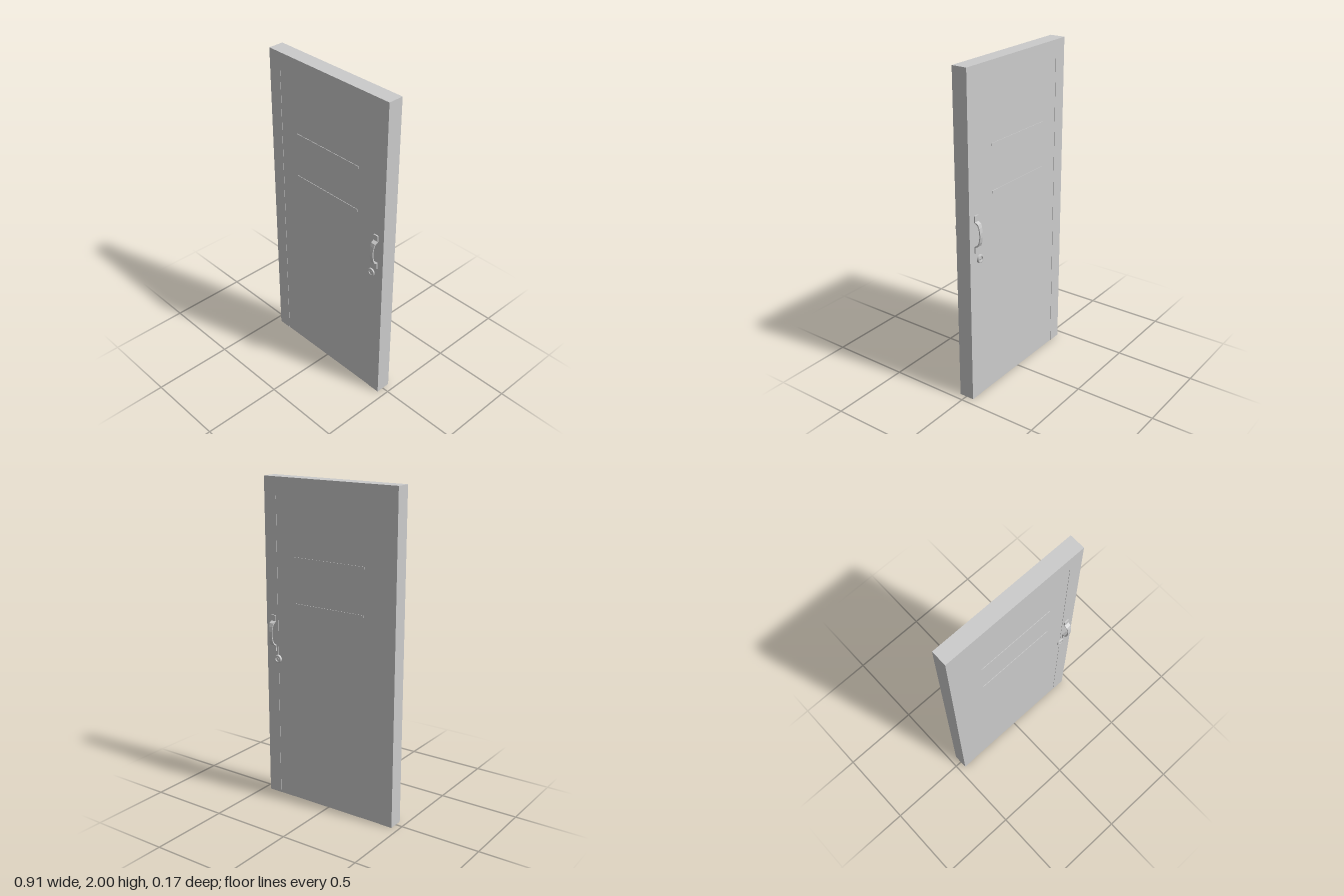
import * as THREE from 'three';

const mat = new THREE.MeshStandardMaterial({ color: 0xcccccc, flatShading: true });
const ringMat = new THREE.MeshStandardMaterial({ color: 0xcccccc });

function add(parent, name, geo, x = 0, y = 0, z = 0, material = mat) {
  const m = new THREE.Mesh(geo, material);
  m.name = name;
  m.position.set(x, y, z);
  parent.add(m);
  return m;
}

// Bowed strap handle: side profile extruded across its width, waisted in the middle
function handleGeometry() {
  const outer = [[0, -0.113], [0.008, -0.113], [0.008, -0.077], [0.024, -0.068], [0.034, -0.045],
    [0.039, -0.015], [0.039, 0.015], [0.034, 0.045], [0.027, 0.066], [0.008, 0.077], [0.008, 0.113], [0, 0.113]];
  const inner = [[0, 0.073], [0.021, 0.061], [0.028, 0.043], [0.032, 0.015],
    [0.032, -0.015], [0.028, -0.043], [0.019, -0.061], [0, -0.073]];
  const shape = new THREE.Shape([...outer, ...inner].map(p => new THREE.Vector2(...p)));
  const width = 0.032;
  const geo = new THREE.ExtrudeGeometry(shape, { depth: width, bevelEnabled: false });
  geo.translate(0, 0, -width / 2).rotateY(-Math.PI / 2);
  const pos = geo.attributes.position;
  for (let i = 0; i < pos.count; i++) {
    const t = Math.min(1, Math.abs(pos.getY(i)) / 0.075);
    pos.setX(i, pos.getX(i) * (0.68 + 0.32 * t * t));
  }
  geo.computeVertexNormals();
  return geo;
}

// Fittings of one door face, built facing +z; side = 1 front, -1 back
function doorFace(side, z) {
  const face = new THREE.Group();
  face.name = side > 0 ? 'frontFace' : 'backFace';
  face.position.z = z;
  if (side < 0) face.rotation.y = Math.PI;

  // Slightly raised frame around the panel
  for (const s of [-1, 1]) add(face, 'stile', new THREE.BoxGeometry(0.085, 2, 0.003), s * 0.4145, 1, 0.0005);
  add(face, 'topRail', new THREE.BoxGeometry(0.744, 0.11, 0.003), 0, 1.945, 0.0005);

  // Two thin horizontal ribs
  for (const y of [1.257, 1.535]) {
    add(face, 'rib', new THREE.BoxGeometry(0.495, 0.015, 0.006), side * 0.0025, y, 0);
  }

  add(face, 'handle', handleGeometry(), side * 0.402, 1.058, 0.002);

  // Lock: rounded collar with a recessed cylinder
  const depth = side > 0 ? 0.01 : 0.014;
  const profile = [[0.014, 0], [0.014, depth - 0.001], [0.016, depth], [0.023, depth], [0.025, depth - 0.002], [0.025, 0]];
  const collar = new THREE.LatheGeometry(profile.reverse().map(p => new THREE.Vector2(...p)), 24).rotateX(Math.PI / 2);
  const collarMat = ringMat.clone();
  collarMat.side = THREE.DoubleSide;
  add(face, 'lockCollar', collar, side * 0.373, 0.898, 0.001, collarMat);
  add(face, 'lockCylinder', new THREE.CylinderGeometry(0.014, 0.014, 0.008, 24).rotateX(Math.PI / 2),
    side * 0.373, 0.898, 0.003, ringMat);
  add(face, 'keySlot', new THREE.BoxGeometry(0.004, 0.014, 0.002), side * 0.373, 0.898, 0.0075);
  return face;
}

export function createModel() {
  const door = new THREE.Group();
  door.name = 'door';
  const front = 0.043, back = -0.048;
  add(door, 'doorPanel', new THREE.BoxGeometry(0.914, 2, front - back), 0, 1, (front + back) / 2);
  door.add(doorFace(1, front), doorFace(-1, back));
  return door;
}
